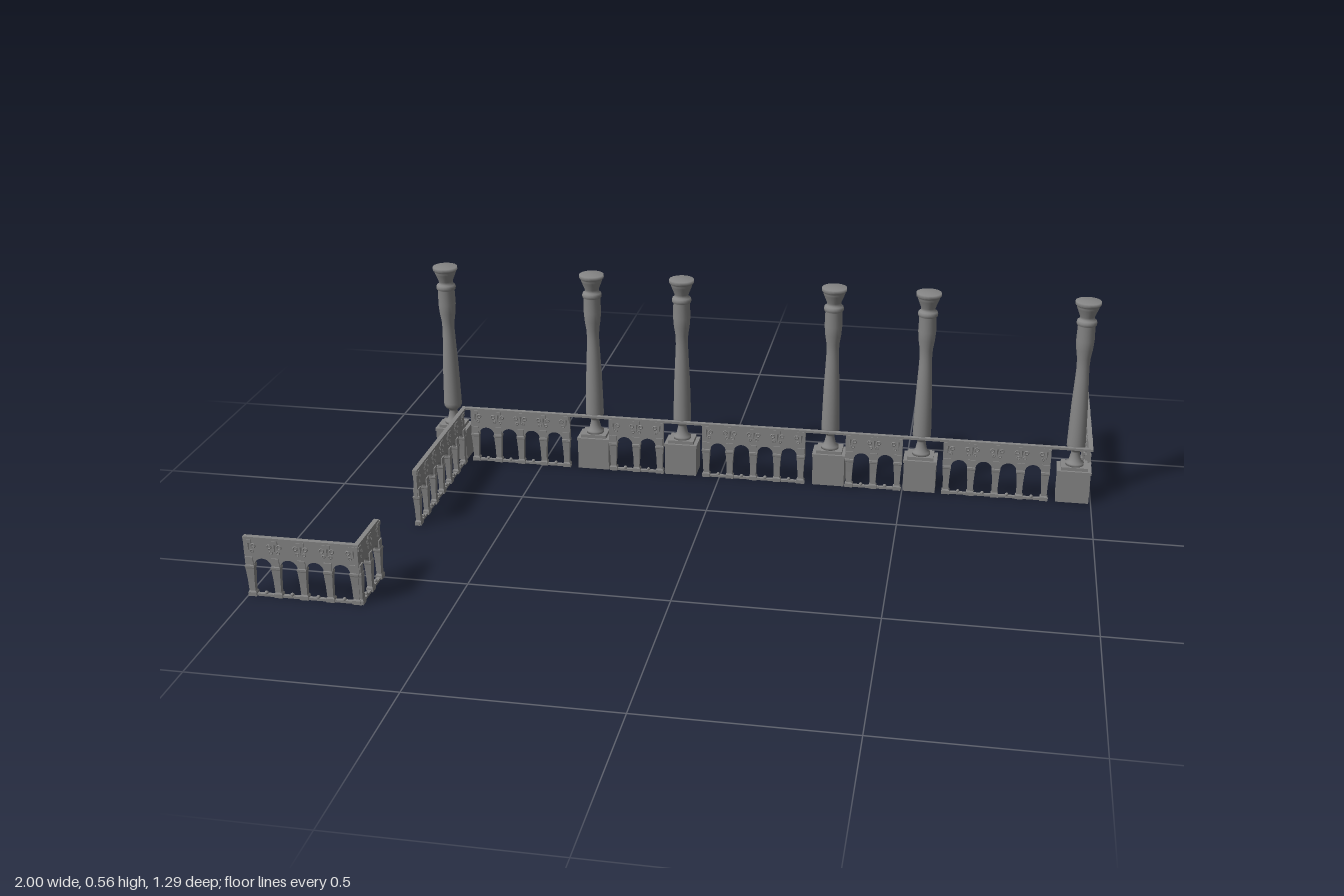
import * as THREE from 'three';

const stone = new THREE.MeshStandardMaterial({ color: 0x868686 });
const flatStone = new THREE.MeshStandardMaterial({ color: 0x868686, flatShading: true });
const PITCH = 0.065, HEIGHT = 0.157, END = 0.0115;

function add(parent, name, geometry, x = 0, y = 0, z = 0, material = flatStone) {
  const mesh = new THREE.Mesh(geometry, material);
  mesh.name = name;
  mesh.position.set(x, y, z);
  parent.add(mesh);
  return mesh;
}
const box = (w, h, d) => new THREE.BoxGeometry(w, h, d);

// Square turned post: four-sided lathe, flattened to the panel's depth
const postGeo = new THREE.LatheGeometry([
  [0, 0], [0.0105, 0], [0.0105, 0.01], [0.0075, 0.014], [0.0085, 0.045],
  [0.0105, 0.074], [0.0115, 0.077], [0.0115, 0.082], [0.0095, 0.084], [0.0095, 0.104], [0, 0.104],
].map(([r, y]) => new THREE.Vector2(r * Math.SQRT2, y)), 4, Math.PI / 4).scale(1, 1, 0.8);
const pendantGeo = new THREE.CylinderGeometry(0.008, 0.004, 0.036, 6).scale(1, 1, 0.85);
const scrollGeo = new THREE.TorusGeometry(0.005, 0.0018, 4, 10);
const knobGeo = new THREE.SphereGeometry(0.005, 8, 6);

// Arcaded railing panel along local +x, starting at the origin
function makePanel(bays) {
  const panel = new THREE.Group();
  panel.name = 'railingPanel';
  const length = bays * PITCH + 2 * END;

  // Arched band
  const band = new THREE.Shape();
  band.moveTo(0, 0.08);
  band.lineTo(0, HEIGHT - 0.005);
  band.lineTo(length, HEIGHT - 0.005);
  band.lineTo(length, 0.08);
  for (let i = bays - 1; i >= 0; i--) {
    const c = END + (i + 0.5) * PITCH;
    band.lineTo(c + 0.0215, 0.08);
    band.absellipse(c, 0.08, 0.0215, 0.021, 0, Math.PI, false, 0);
  }
  const bandGeo = new THREE.ExtrudeGeometry(band, { depth: 0.009, bevelEnabled: false, curveSegments: 10 });
  add(panel, 'archedBand', bandGeo, 0, 0, -0.0045);
  add(panel, 'bottomRail', box(length, 0.006, 0.009), length / 2, 0.003);

  // Posts with carved pendants and scrolls above them
  for (let i = 0; i <= bays; i++) {
    const x = END + i * PITCH;
    add(panel, 'post', postGeo, x);
    add(panel, 'ornamentBlock', box(0.019, 0.01, 0.015), x, 0.146);
    add(panel, 'ornamentPendant', pendantGeo, x, 0.123);
    for (const side of [-1, 1]) {
      // End posts carry a scroll on the inner side only
      if ((i === 0 && side < 0) || (i === bays && side > 0)) continue;
      for (const face of [-1, 1]) {
        add(panel, 'ornamentScroll', scrollGeo, x + side * 0.0125, 0.134, face * 0.0045);
        add(panel, 'ornamentScroll', scrollGeo, x + side * 0.0085, 0.119, face * 0.0045).scale.setScalar(0.75);
      }
    }
    if (i < bays) add(panel, 'sillKnob', knobGeo, x + PITCH / 2, 0.008);
  }
  return panel;
}

// Turned shaft with a narrow waist and flared capital
const shaftGeo = new THREE.LatheGeometry([
  [0, 0.098], [0.024, 0.098], [0.024, 0.106], [0.017, 0.109], [0.014, 0.122], [0.011, 0.135],
  [0.014, 0.141], [0.021, 0.146], [0.0245, 0.153], [0.0245, 0.16], [0.0235, 0.2], [0.0215, 0.27],
  [0.0175, 0.35], [0.0165, 0.375], [0.0175, 0.4], [0.0215, 0.425], [0.0235, 0.45], [0.0225, 0.49],
  [0.0255, 0.493], [0.0265, 0.499], [0.0245, 0.505], [0.0185, 0.508], [0.019, 0.515],
  [0.027, 0.535], [0.029, 0.541], [0.029, 0.545], [0.033, 0.547], [0.033, 0.556], [0, 0.556],
].map(([r, y]) => new THREE.Vector2(r, y)), 20);

// Column: rectangular pedestal below the shaft
function makeColumn() {
  const column = new THREE.Group();
  column.name = 'column';
  add(column, 'pedestal', box(0.086, 0.082, 0.064), 0, 0.041);
  add(column, 'pedestalCap', box(0.09, 0.008, 0.067), 0, 0.086);
  add(column, 'pedestalStep', box(0.07, 0.009, 0.054), 0, 0.0945);
  add(column, 'shaft', shaftGeo, 0, 0, 0, stone);
  return column;
}

export function createModel() {
  const model = new THREE.Group();
  model.name = 'colonnadeRailing';
  const BACK = -0.217, FRONT = 0.637, LEFT = 0.989, RIGHT = -0.72;

  // Panels across the back and at the front corner: [start x, z, bays]
  const across = [[-0.701, BACK, 4], [-0.308, BACK, 2], [-0.048, BACK, 4], [0.344, BACK, 2], [0.605, BACK, 4], [-1, FRONT, 4]];
  for (const [x, z, bays] of across) {
    const panel = makePanel(bays);
    panel.position.set(x, 0, z);
    model.add(panel);
  }
  // Panels running front to back: [x, front-most z, bays]
  const along = [[RIGHT, 0.215, 6], [RIGHT, 0.645, 2], [LEFT, -0.294, 5]];
  for (const [x, z, bays] of along) {
    const panel = makePanel(bays);
    panel.rotation.y = Math.PI / 2;
    panel.position.set(x, 0, z);
    model.add(panel);
  }

  // Continuous handrails: [x0, z0, x1, z1]
  const rails = [
    [RIGHT, BACK, LEFT, BACK], [RIGHT, BACK, RIGHT, 0.209], [LEFT, BACK, LEFT, -0.639],
    [-0.994, FRONT, RIGHT, FRONT], [RIGHT, 0.506, RIGHT, FRONT],
  ];
  for (const [x0, z0, x1, z1] of rails) {
    add(model, 'handrail', box(Math.abs(x1 - x0) + 0.012, 0.006, Math.abs(z1 - z0) + 0.012),
      (x0 + x1) / 2, HEIGHT - 0.003, (z0 + z1) / 2);
  }

  // Columns stand just behind the back railing
  for (const x of [-0.76, -0.353, -0.108, 0.299, 0.545, 0.951]) {
    const column = makeColumn();
    column.position.set(x, 0, -0.243);
    model.add(column);
  }
  return model;
}
